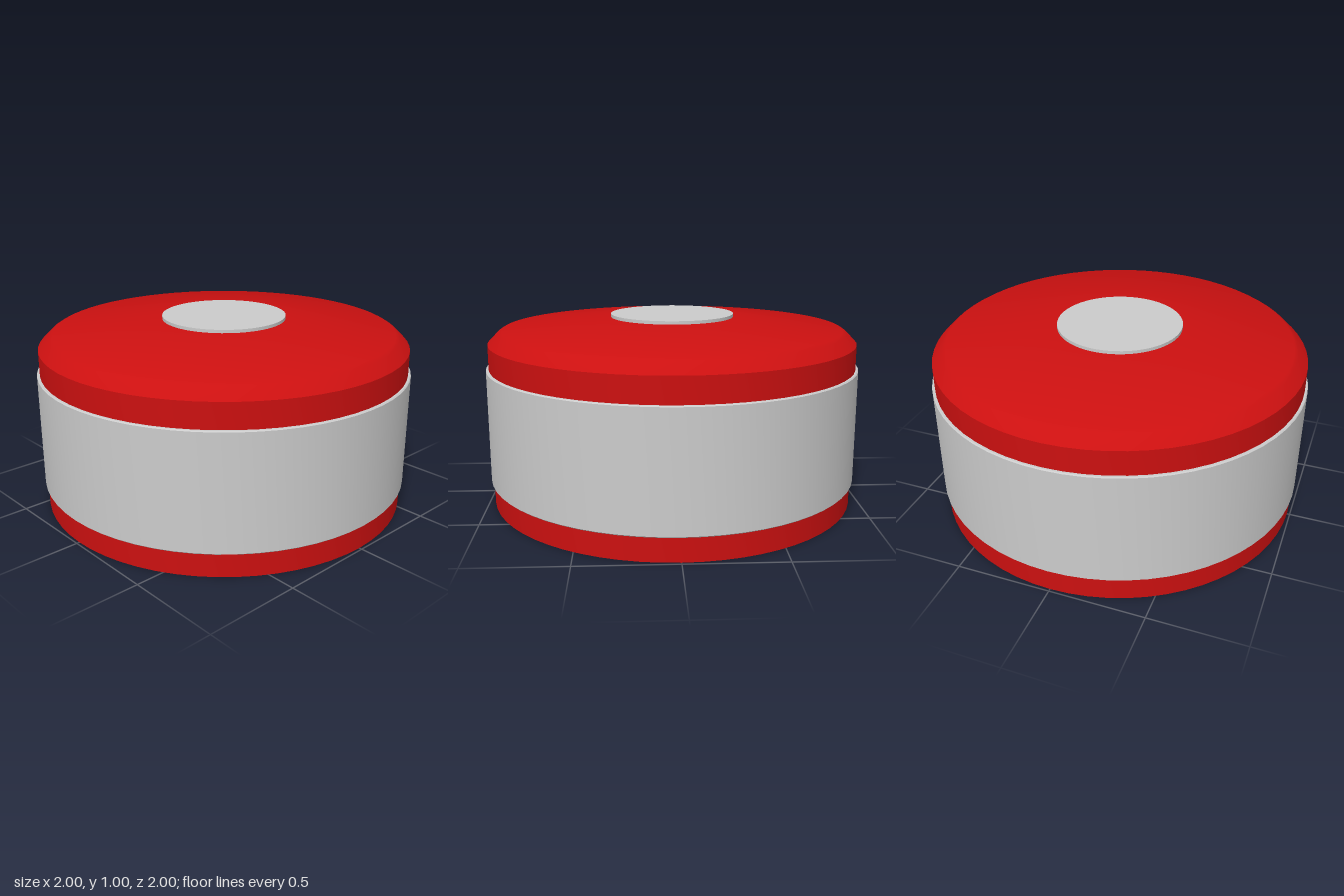
import * as THREE from 'three';
import { toCreasedNormals } from 'three/addons/utils/BufferGeometryUtils.js';

const SEGMENTS = 64;

export function createModel() {
  const model = new THREE.Group();
  model.name = 'roundContainer';
  const red = new THREE.MeshStandardMaterial({ color: 0xcc1010 });
  const grey = new THREE.MeshStandardMaterial({ color: 0xcccccc });

  // Turned part from [radius, height] pairs listed bottom to top
  function turned(name, profile, material) {
    const points = profile.map(([r, y]) => new THREE.Vector2(r, y));
    const geometry = toCreasedNormals(new THREE.LatheGeometry(points, SEGMENTS), 0.5);
    const mesh = new THREE.Mesh(geometry, material);
    mesh.name = name;
    model.add(mesh);
  }

  // Flat underside
  turned('base', [[0, 0], [0.985, 0]], grey);

  // Red foot ring below the band
  turned('footRing', [[0.985, 0], [0.985, 0.14]], red);

  // Slightly wider band around the body
  turned('sideBand', [[0.98, 0.125], [0.995, 0.125], [1, 0.13], [1, 0.73], [0.995, 0.735], [0.98, 0.735]], grey);

  // Red lid: straight wall, chamfer and shallow cone
  turned('lid', [[0.985, 0.72], [0.985, 0.865], [0.93, 0.92], [0.91, 0.932], [0.33, 0.988], [0, 0.988]], red);

  // Thin disc in the middle of the lid
  turned('centreDisc', [[0.33, 0.98], [0.33, 1.005], [0, 1.005]], grey);

  return model;
}
